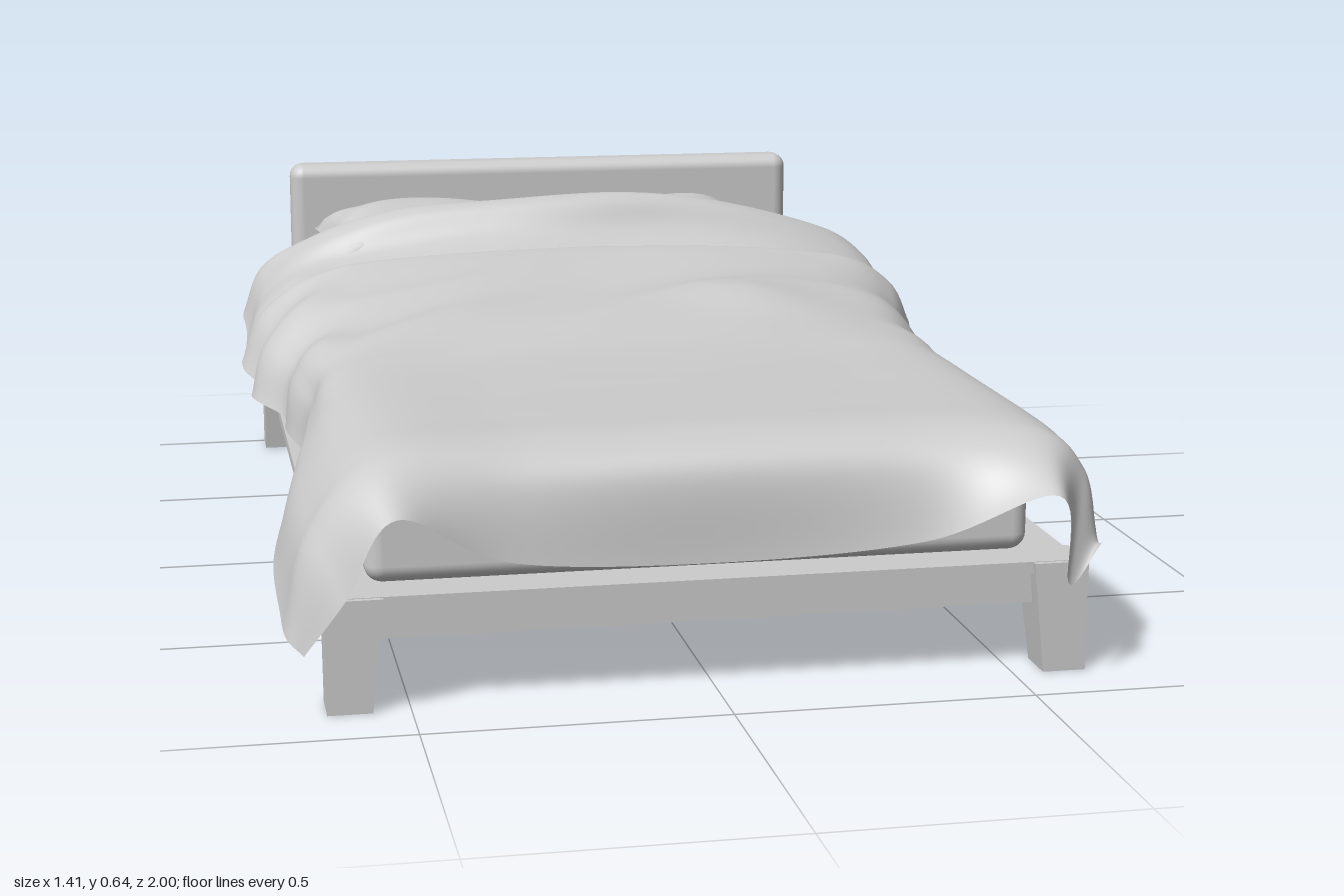
import * as THREE from 'three';
import { RoundedBoxGeometry } from 'three/addons/geometries/RoundedBoxGeometry.js';

const grey = new THREE.MeshStandardMaterial({ color: 0xcccccc });
const cloth = new THREE.MeshStandardMaterial({ color: 0xcccccc, side: THREE.DoubleSide });
const V = (x, y, z) => new THREE.Vector3(x, y, z);
const bump = (t, c, w) => Math.exp(-(((t - c) / w) ** 2));

function add(group, name, geometry, material = grey) {
  const mesh = new THREE.Mesh(geometry, material);
  mesh.name = name;
  group.add(mesh);
  return mesh;
}

// Block given by its limits, with optional rounded edges
function block(group, name, x0, x1, y0, y1, z0, z1, r = 0) {
  const size = [x1 - x0, y1 - y0, z1 - z0];
  const g = r ? new RoundedBoxGeometry(...size, 4, r) : new THREE.BoxGeometry(...size);
  g.translate((x0 + x1) / 2, (y0 + y1) / 2, (z0 + z1) / 2);
  return add(group, name, g);
}

// Leg with straight outer faces and inner faces that taper towards the floor
function legGeometry(sx, sz) {
  const w = 0.093, d = 0.1, h = 0.187;
  const g = new THREE.BoxGeometry(w, h, d).translate(0, h / 2, 0);
  const p = g.attributes.position;
  for (let i = 0; i < p.count; i++) {
    if (p.getY(i) > 0.01) continue;
    if (p.getX(i) * sx < 0) p.setX(i, p.getX(i) + sx * 0.02);
    if (p.getZ(i) * sz < 0) p.setZ(i, p.getZ(i) + sz * 0.027);
  }
  g.computeVertexNormals();
  return g;
}

// Cushion: two puffed sheets with pulled-out corners and a thin seam
function pillowGeometry(w, h, d, seed) {
  const n = 28, pos = [], idx = [];
  for (const s of [1, -1]) {
    const base = pos.length / 3;
    for (let j = 0; j <= n; j++) for (let i = 0; i <= n; i++) {
      const u = (i / n) * 2 - 1, v = (j / n) * 2 - 1;
      const puff = Math.pow((1 - u ** 4) * (1 - v ** 4), 0.55);
      const crease = 0.005 * Math.sin(5 * u + 7 * v + seed) * puff;
      pos.push(u * w / 2 * (1 - 0.07 * (1 - v * v)), s * h / 2 * puff + crease, v * d / 2 * (1 - 0.07 * (1 - u * u)));
      if (i < n && j < n) {
        const a = base + j * (n + 1) + i, b = a + n + 1;
        if (s > 0) idx.push(a, b, a + 1, b, b + 1, a + 1);
        else idx.push(a, a + 1, b, b, a + 1, b + 1);
      }
    }
  }
  const g = new THREE.BufferGeometry();
  g.setAttribute('position', new THREE.Float32BufferAttribute(pos, 3));
  g.setIndex(idx);
  g.computeVertexNormals();
  return g;
}

// Blanket sections from head to foot:
// z, height, shoulder drop, right hem x, y, left hem x, y, hem shift in z (right, left)
const sections = [
  [-0.58, 0.53, 0.08, -0.61, 0.39, 0.64, 0.41, -0.13, -0.08],
  [-0.635, 0.565, 0.075, -0.65, 0.40, 0.69, 0.40, -0.12, -0.08],
  [-0.61, 0.60, 0.075, -0.68, 0.36, 0.70, 0.37, -0.10, -0.09],
  [-0.565, 0.595, 0.085, -0.685, 0.34, 0.70, 0.37, -0.06, -0.06],
  [-0.52, 0.535, 0.06, -0.69, 0.32, 0.70, 0.36, -0.03, -0.03],
  [-0.445, 0.49, 0.02, -0.69, 0.30, 0.70, 0.35, 0, 0],
  [-0.41, 0.52, 0.03, -0.69, 0.30, 0.70, 0.34, 0, 0],
  [-0.36, 0.52, 0.04, -0.69, 0.29, 0.69, 0.33, 0, 0],
  [-0.2, 0.49, 0.045, -0.68, 0.28, 0.67, 0.27, 0, 0],
  [0, 0.465, 0.04, -0.64, 0.27, 0.655, 0.24, 0, 0],
  [0.2, 0.43, 0.015, -0.62, 0.25, 0.65, 0.235, 0, 0],
  [0.45, 0.42, 0.008, -0.665, 0.23, 0.655, 0.25, 0, 0],
  [0.65, 0.418, 0.008, -0.70, 0.19, 0.665, 0.26, 0, 0],
  [0.79, 0.412, 0.004, -0.70, 0.15, 0.655, 0.25, 0.02, 0.02],
  [0.865, 0.365, -0.025, -0.695, 0.13, 0.64, 0.22, 0.02, 0.02],
];

function sectionPoints([z, h, drop, rx, ry, lx, ly, rz, lz]) {
  const half = (s, x, y, dz) => [
    V(x, y, z + dz),
    V(s * 0.2 + x * 0.65, THREE.MathUtils.lerp(h - drop, y, 0.42), z + dz * 0.7),
    V(s * 0.54, h - drop, z + dz * 0.3),
    V(s * 0.3, h - drop * 0.15, z),
  ];
  return [...half(-1, rx, ry, rz), V(0, h, z), ...half(1, lx, ly, lz).reverse()];
}

// Soft folds: ridges over the middle, gathers on the hanging sides
function wrinkle(x, y, z) {
  const side = THREE.MathUtils.smoothstep(Math.abs(x), 0.48, 0.6);
  const ridge = (t) => 1 - 2 * Math.abs(Math.sin(t));
  let d = 0.009 * bump(z, -0.1, 0.24) * (1 - side) * ridge(8 * z + 2.2 * x + 0.7 * Math.sin(5 * x));
  d += 0.02 * bump(z, -0.08, 0.05 + 0.08 * Math.abs(x)) * bump(x, 0.28, 0.14);
  d += 0.016 * bump(z + 0.5 * x, -0.2, 0.06) * bump(x, -0.38, 0.18);
  d += (x < 0 ? 0.018 : 0.007) * side * bump(z, -0.22, 0.32) * Math.sin(26 * z + 9 * y + 4 * x);
  d += 0.006 * bump(z, -0.56, 0.08) * Math.sin(11 * x + 20 * z);
  return d;
}

function blanketGeometry() {
  const rows = sections.map(sectionPoints);
  // Front hem, lifted over the mattress corners with hanging flaps
  rows.push([V(-0.67, 0.11, 0.92), V(-0.605, 0.21, 0.96), V(-0.525, 0.335, 0.965), V(-0.34, 0.24, 0.905),
    V(0, 0.215, 0.88), V(0.34, 0.24, 0.905), V(0.53, 0.33, 0.995), V(0.555, 0.18, 0.985), V(0.63, 0.23, 0.93)]);
  const nu = 96, nv = 160, pos = [], idx = [];
  const spline = (pts) => new THREE.CatmullRomCurve3(pts, false, 'catmullrom', 0.5);
  const across = rows.map(spline);
  const columns = [];
  for (let i = 0; i <= nu; i++) columns.push(spline(across.map((c) => c.getPoint(i / nu))));
  for (let j = 0; j <= nv; j++) for (let i = 0; i <= nu; i++) {
    pos.push(...columns[i].getPoint(j / nv).toArray());
    if (i < nu && j < nv) {
      const a = j * (nu + 1) + i, b = a + nu + 1;
      idx.push(a, b, a + 1, b, b + 1, a + 1);
    }
  }
  const g = new THREE.BufferGeometry();
  g.setAttribute('position', new THREE.Float32BufferAttribute(pos, 3));
  g.setIndex(idx);
  g.computeVertexNormals();
  const p = g.attributes.position, n = g.attributes.normal;
  for (let i = 0; i < p.count; i++) {
    const x = p.getX(i), y = p.getY(i), z = p.getZ(i), d = wrinkle(x, y, z);
    p.setXYZ(i, x + n.getX(i) * d, y + n.getY(i) * d, z + n.getZ(i) * d);
  }
  g.computeVertexNormals();
  return g;
}

export function createModel() {
  const bed = new THREE.Group();
  bed.name = 'bed';

  // Frame: thin ledge over a recessed rail box, on four tapered legs
  block(bed, 'frameLedge', -0.626, 0.614, 0.168, 0.188, -0.985, 0.88);
  block(bed, 'frameRails', -0.605, 0.593, 0.113, 0.17, -0.965, 0.86);
  for (const sx of [-1, 1]) for (const sz of [-1, 1]) {
    const leg = add(bed, (sz > 0 ? 'front' : 'back') + (sx > 0 ? 'Left' : 'Right') + 'Leg', legGeometry(sx, sz));
    leg.position.set(-0.005 + sx * 0.583, 0, sz > 0 ? 0.84 : -0.95);
  }

  // Headboard and mattress
  block(bed, 'headboard', -0.566, 0.547, 0.188, 0.645, -0.942, -0.86, 0.028);
  block(bed, 'mattress', -0.564, 0.546, 0.188, 0.406, -0.86, 0.82, 0.03);

  // Pillows, raised at the head end and tucked under the blanket's upper edge
  [[-0.285, 0.03], [0.185, -0.06]].forEach(([x, turn], i) => {
    const pillow = add(bed, i ? 'leftPillow' : 'rightPillow', pillowGeometry(0.46, 0.165, 0.33, i * 2));
    pillow.position.set(x, 0.49, -0.69);
    pillow.rotation.set(0.13, turn, 0);
  });

  add(bed, 'blanket', blanketGeometry(), cloth);
  return bed;
}
